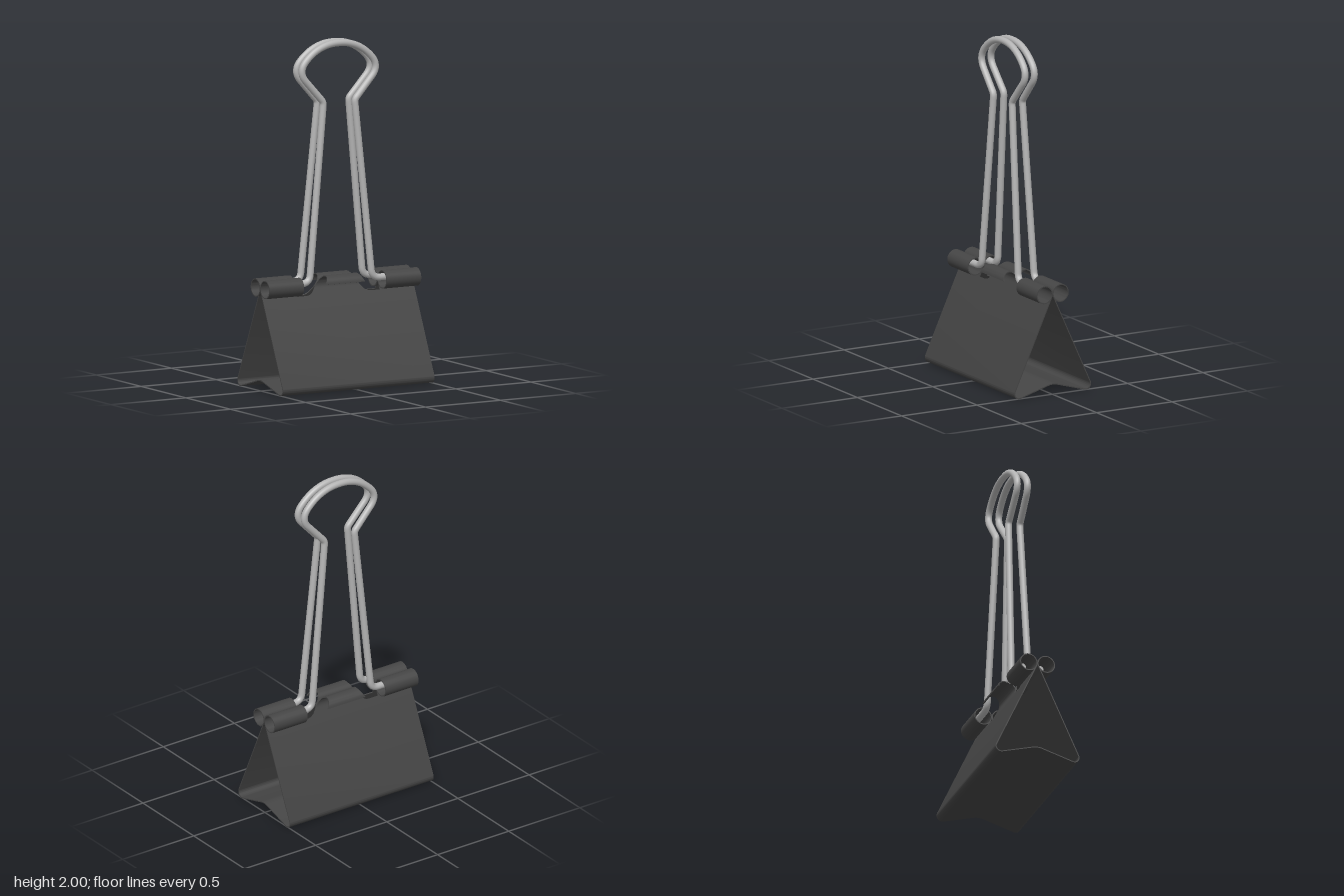
import * as THREE from 'three';
import { toCreasedNormals } from 'three/addons/utils/BufferGeometryUtils.js';

const HALF_W = 0.505, NOTCH_X = 0.275, NOTCH_Y = 0.53, THICK = 0.006;
const ROLL = { z: 0.053, y: 0.592, r: 0.05 };      // curled lip
const CORNER = { z: 0.222, y: 0.033, r: 0.03 };    // lower bend
const WALL = THREE.MathUtils.degToRad(24.7);       // direction the wall faces
const BASE = THREE.MathUtils.degToRad(16);         // slope of the spine

const onCircle = (c, a) => [c.z + c.r * Math.cos(a), c.y + c.r * Math.sin(a)];
const arc = (c, from, to, n) =>
  Array.from({ length: n + 1 }, (_, i) => onCircle(c, from + (to - from) * i / n));

// Sheet metal following a (z, y) profile, spanning range(y) = [x0, x1]
function sheet(profile, range) {
  const rings = profile.map(([z, y], i) => {
    const p = profile[Math.max(i - 1, 0)], q = profile[Math.min(i + 1, profile.length - 1)];
    const len = Math.hypot(q[0] - p[0], q[1] - p[1]);
    const nz = -(q[1] - p[1]) / len * THICK / 2, ny = (q[0] - p[0]) / len * THICK / 2;
    const [x0, x1] = range(y);
    return [[x0, y + ny, z + nz], [x1, y + ny, z + nz], [x1, y - ny, z - nz], [x0, y - ny, z - nz]];
  });
  const pos = [];
  const quad = (a, b, c, d) => pos.push(...a, ...b, ...c, ...a, ...c, ...d);
  for (let i = 0; i < rings.length - 1; i++) {
    for (let k = 0; k < 4; k++) {
      const m = (k + 1) % 4;
      quad(rings[i][k], rings[i + 1][k], rings[i + 1][m], rings[i][m]);
    }
  }
  quad(...rings[0]);
  quad(...rings[rings.length - 1].slice().reverse());
  const g = new THREE.BufferGeometry();
  g.setAttribute('position', new THREE.Float32BufferAttribute(pos, 3));
  return toCreasedNormals(g, 0.6);
}

// Half width of the middle tab at a given height
const TAB = [[0.53, 0.21], [0.534, 0.19], [0.545, 0.172], [0.565, 0.154], [0.6, 0.131], [0.646, 0.102]];
function tabHalf(y) {
  for (let i = 1; i < TAB.length; i++) {
    const [y0, w0] = TAB[i - 1], [y1, w1] = TAB[i];
    if (y <= y1) return w0 + (w1 - w0) * Math.max(0, (y - y0) / (y1 - y0));
  }
  return TAB[TAB.length - 1][1];
}

// Path through corners [x, y, cut], each corner rounded over the cut length
function roundedPath(corners, zAt) {
  const pts = corners.map(([x, y]) => new THREE.Vector3(x, y, zAt(y)));
  const path = new THREE.CurvePath();
  let last = pts[0];
  for (let i = 1; i < pts.length - 1; i++) {
    const toward = (p) => pts[i].clone().add(p.clone().sub(pts[i]).setLength(corners[i][2]));
    const a = toward(pts[i - 1]), b = toward(pts[i + 1]);
    if (last.distanceTo(a) > 1e-3) path.add(new THREE.LineCurve3(last, a));
    path.add(new THREE.QuadraticBezierCurve3(a, pts[i], b));
    last = b;
  }
  path.add(new THREE.LineCurve3(last, pts[pts.length - 1]));
  return path;
}

export function createModel() {
  const model = new THREE.Group();
  model.name = 'binderClip';
  const black = new THREE.MeshStandardMaterial({ color: 0x454545, side: THREE.DoubleSide });
  black.name = 'dark sheet metal';
  const steel = new THREE.MeshStandardMaterial({ color: 0xb4b4b4 });
  steel.name = 'steel wire';
  const add = (parent, name, geometry, material) => {
    const mesh = new THREE.Mesh(geometry, material);
    mesh.name = name;
    parent.add(mesh);
    return mesh;
  };

  // Wall line between lip and lower bend
  const top = onCircle(ROLL, WALL + Math.PI), low = onCircle(CORNER, WALL);
  const wallAt = (y) => [top[0] + (low[0] - top[0]) * (top[1] - y) / (top[1] - low[1]), y];

  // Body: two walls joined by a folded spine
  const hump = { z: 0, y: -0.049, r: 0.11 };
  const half = [
    wallAt(NOTCH_Y),
    ...arc(CORNER, WALL, -Math.PI / 2 - BASE, 14),
    ...arc(hump, Math.PI / 2 - BASE, Math.PI / 2, 6),
  ];
  const other = half.slice(0, -1).reverse().map(([z, y]) => [-z, y]);
  add(model, 'body', sheet([...half, ...other], () => [-HALF_W, HALF_W]), black);

  // Lips above the notch line
  const neck = [0.565, 0.555, 0.545, 0.538, 0.534, NOTCH_Y].map(wallAt);
  const rollEnd = WALL + Math.PI;
  const fullLip = [...arc(ROLL, rollEnd - 6.1, rollEnd, 36), ...neck];
  const tabLip = [...arc(ROLL, 0.12, rollEnd, 22), ...neck];

  // Wire handle outline, right half mirrored to the left
  const side = [
    [0.4, 0.608, 0], [0.208, 0.608, 0.05], [0.104, 1.645, 0.018],
    [0.272, 1.83, 0.08], [0.13, 1.98, 0.126],
  ];
  const outline = [...side, ...side.slice().reverse().map(([x, y, c]) => [-x, y, c])];
  const wireZ = (y) => 0.053 - 0.025 * (y - 0.608) / 1.372;
  const wirePath = roundedPath(outline, wireZ);

  for (const [name, turn] of [['front', 0], ['back', Math.PI]]) {
    const jaw = new THREE.Group();
    jaw.name = name + 'Jaw';
    jaw.rotation.y = turn;
    add(jaw, name + 'LeftLip', sheet(fullLip, () => [NOTCH_X, HALF_W]), black);
    add(jaw, name + 'RightLip', sheet(fullLip, () => [-HALF_W, -NOTCH_X]), black);
    add(jaw, name + 'MiddleTab', sheet(tabLip, (y) => [-tabHalf(y), tabHalf(y)]), black);

    add(jaw, name + 'Handle', new THREE.TubeGeometry(wirePath, 360, 0.02, 14), steel);
    for (const s of [-1, 1]) {
      const cap = add(jaw, name + 'HandleEnd', new THREE.CircleGeometry(0.02, 14), steel);
      cap.position.set(s * 0.4, 0.608, 0.053);
      cap.rotation.y = s * Math.PI / 2;
    }
    model.add(jaw);
  }
  return model;
}
